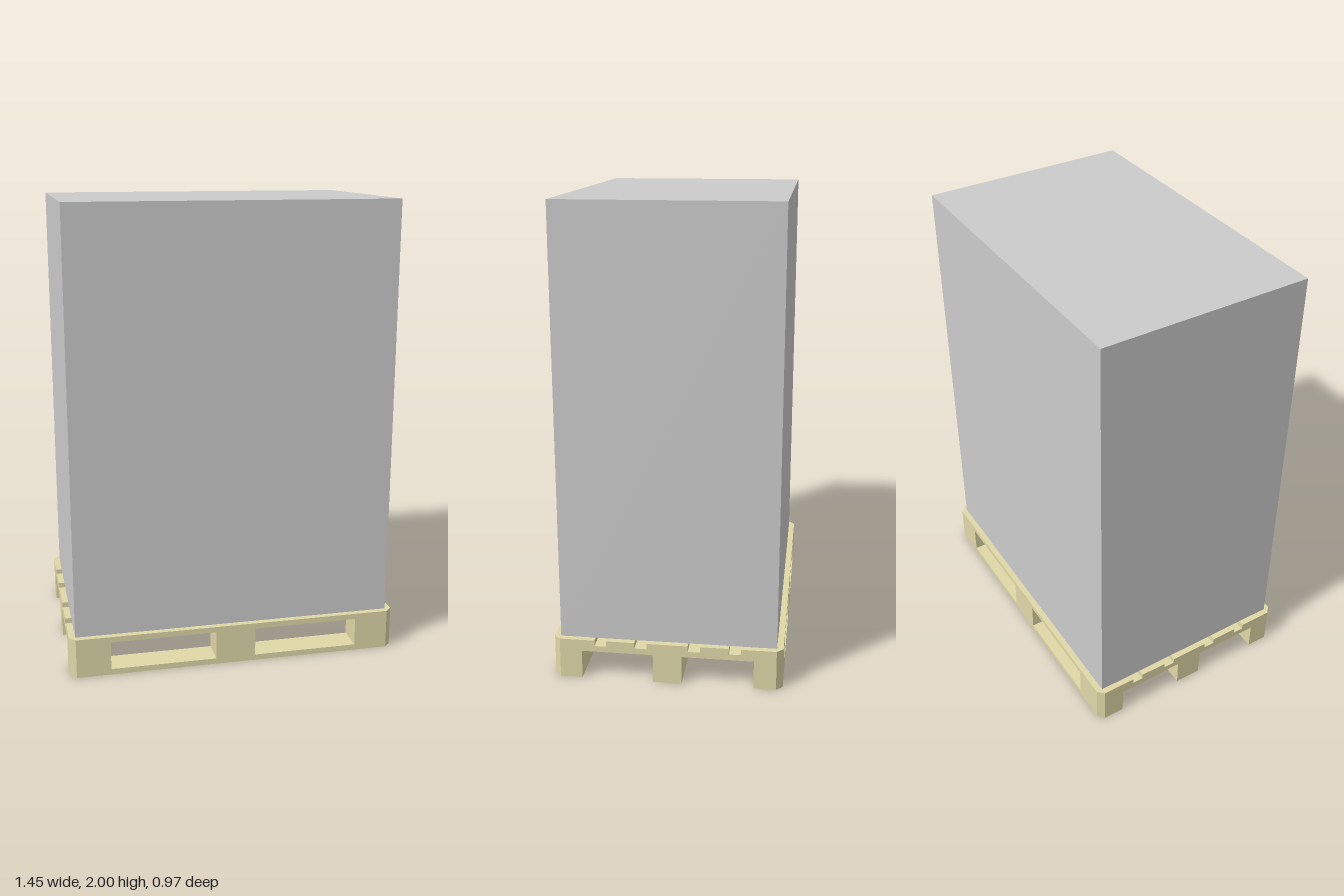
import * as THREE from 'three';

const HX = 0.727, HZ = 0.485;   // half length and half depth of the pallet
const CUT = 0.027;              // corner chamfer
const LEVELS = [0, 0.025, 0.124, 0.15, 0.175];

export function createModel() {
  const model = new THREE.Group();
  const pallet = new THREE.Group();
  pallet.name = 'pallet';
  model.add(pallet);
  const wood = new THREE.MeshStandardMaterial({ color: 0xe0d8a8, flatShading: true });
  const grey = new THREE.MeshStandardMaterial({ color: 0xcccccc, flatShading: true });

  // Flat-sided timber; corners that meet the pallet's outer corners are chamfered
  function timber(name, cx, cz, w, d, level) {
    const points = [];
    [[-1, -1], [1, -1], [1, 1], [-1, 1]].forEach(([sx, sz], i) => {
      const x = cx + sx * w / 2, z = cz + sz * d / 2;
      if (Math.abs(x) > HX - 0.001 && Math.abs(z) > HZ - 0.001) {
        const pair = [new THREE.Vector2(x, -(z - sz * CUT)), new THREE.Vector2(x - sx * CUT, -z)];
        points.push(...(i % 2 ? pair.reverse() : pair));
      } else {
        points.push(new THREE.Vector2(x, -z));
      }
    });
    const geometry = new THREE.ExtrudeGeometry(new THREE.Shape(points), {
      depth: LEVELS[level + 1] - LEVELS[level], bevelEnabled: false,
    });
    geometry.rotateX(-Math.PI / 2);
    geometry.translate(0, LEVELS[level], 0);
    const mesh = new THREE.Mesh(geometry, wood);
    mesh.name = name;
    pallet.add(mesh);
  }

  const blockW = 0.176, blockD = 0.121;
  const columns = [-1, 0, 1].map((s) => s * (HX - blockW / 2));
  const rows = [-1, 0, 1].map((s) => s * (HZ - blockD / 2));

  // Bottom runners and the three blocks on each
  for (const z of rows) {
    timber('bottomRunner', 0, z, HX * 2, blockD, 0);
    for (const x of columns) timber('block', x, z, blockW, blockD, 1);
  }

  // Cross boards over the blocks
  for (const x of columns) timber('crossBoard', x, 0, blockW, HZ * 2, 2);

  // Top deck: wide boards at the edges and middle, narrower ones between
  for (const [z, d] of [[0, 0.174], [0.199, 0.12], [-0.199, 0.12], [HZ - 0.088, 0.176], [0.088 - HZ, 0.176]]) {
    timber('deckBoard', 0, z, HX * 2, d, 3);
  }

  // Load standing on the deck
  const load = new THREE.Mesh(new THREE.BoxGeometry(1.4, 2 - LEVELS[4], 0.916), grey);
  load.name = 'load';
  load.position.y = (2 + LEVELS[4]) / 2;
  model.add(load);

  return model;
}
